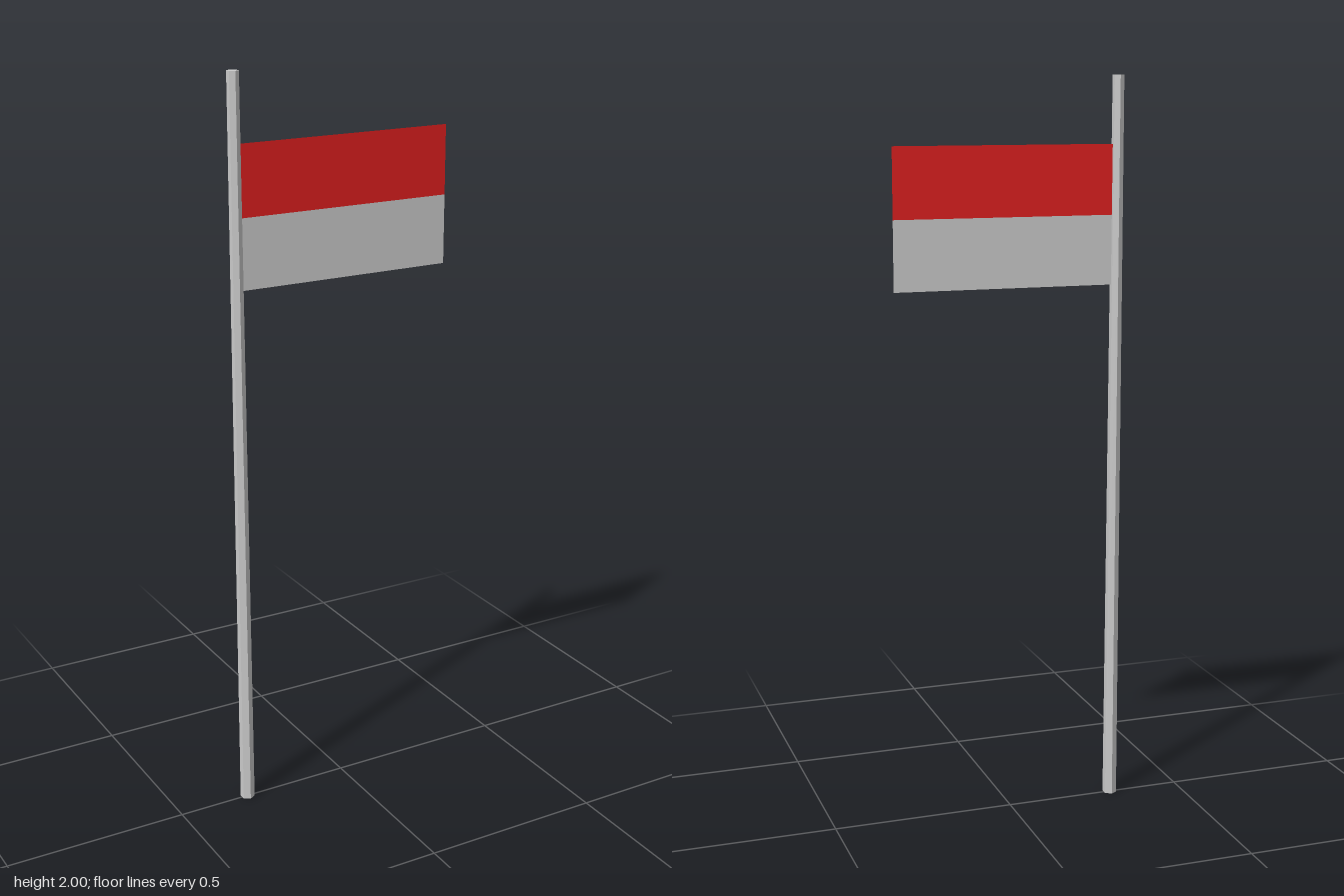
import * as THREE from 'three';

export function createModel() {
  const group = new THREE.Group();
  const poleX = -0.299;

  // Slightly tapered six-sided pole
  const pole = new THREE.Mesh(
    new THREE.CylinderGeometry(0.0155, 0.0195, 2, 6),
    new THREE.MeshStandardMaterial({ color: 0xcccccc, flatShading: true })
  );
  pole.name = 'pole';
  pole.position.set(poleX, 1, 0);
  group.add(pole);

  // Thin flag of two equal horizontal bands, attached inside the pole
  const flag = new THREE.Group();
  flag.name = 'flag';
  const flagEnd = 0.316, flagTop = 1.822, bandHeight = 0.1855;
  const flagStart = poleX + 0.01;
  const bands = [['upperBand', 0xe02020], ['lowerBand', 0xcccccc]];
  bands.forEach(([name, color], i) => {
    const band = new THREE.Mesh(
      new THREE.PlaneGeometry(flagEnd - flagStart, bandHeight),
      new THREE.MeshStandardMaterial({ color, side: THREE.DoubleSide })
    );
    band.name = name;
    band.position.set((flagStart + flagEnd) / 2, flagTop - bandHeight * (i + 0.5), 0);
    flag.add(band);
  });
  group.add(flag);

  return group;
}
